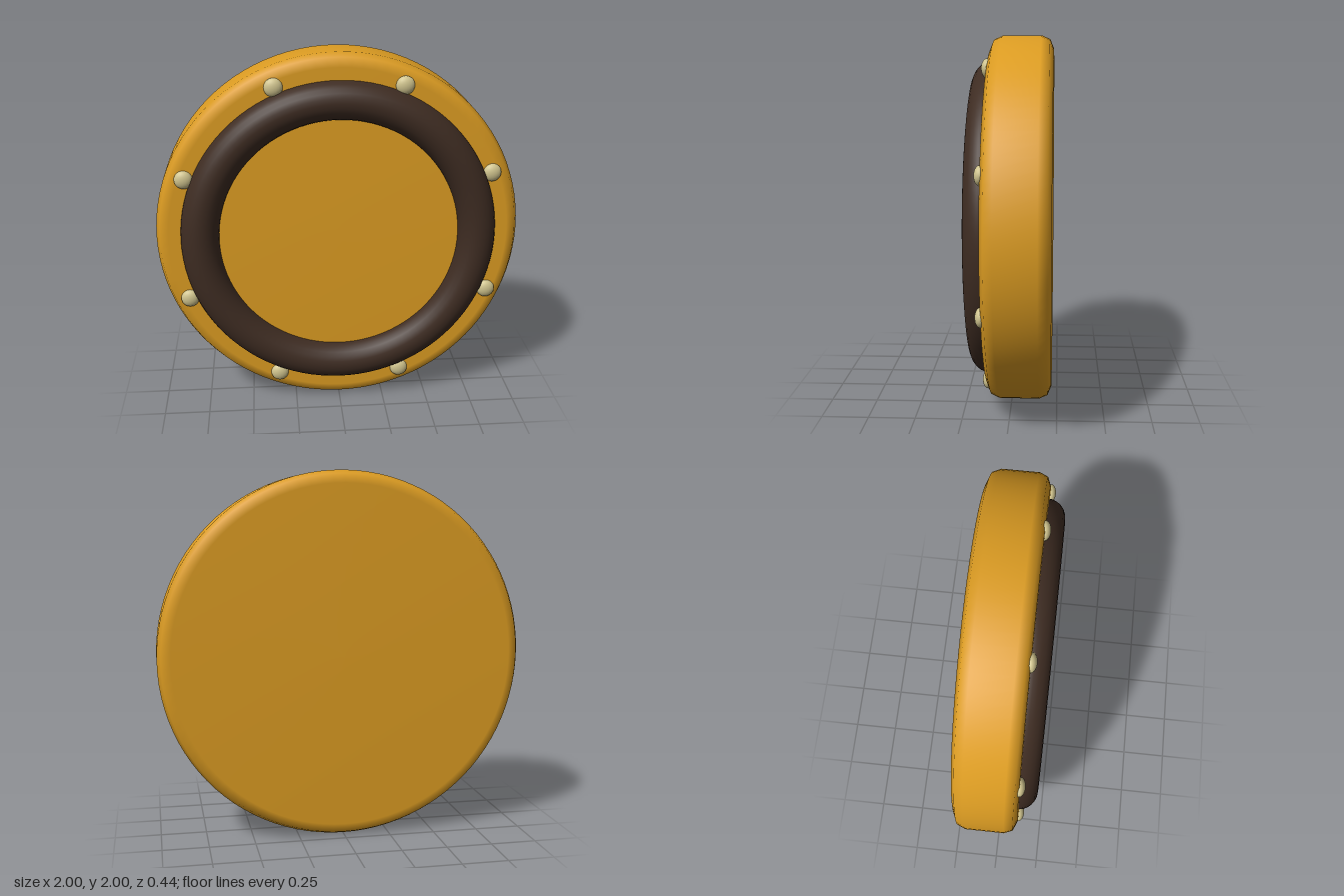
import * as THREE from 'three';

export function createModel() {
  const gold = new THREE.MeshStandardMaterial({ color: 0xdc9c22 });
  gold.name = 'gold';
  const darkBrown = new THREE.MeshStandardMaterial({ color: 0x3e2c22 });
  darkBrown.name = 'dark brown';
  const cream = new THREE.MeshStandardMaterial({ color: 0xd0c48e });
  cream.name = 'cream';

  const model = new THREE.Group();
  model.name = 'studdedDisc';

  // Round body with softened rims, turned so its axis runs front to back
  const profile = [
    [0, -0.22], [0.93, -0.22], [0.98, -0.2], [1, -0.155],
    [1, 0.055], [0.98, 0.1], [0.93, 0.12], [0, 0.12],
  ].map(([r, z]) => new THREE.Vector2(r, z));
  const body = new THREE.Mesh(new THREE.LatheGeometry(profile, 96).rotateX(Math.PI / 2), gold);
  body.name = 'body';
  body.position.y = 1;
  model.add(body);

  // Raised ring, half sunk into the front face
  const ring = new THREE.Mesh(new THREE.TorusGeometry(0.76, 0.105, 24, 96), darkBrown);
  ring.name = 'ring';
  ring.position.set(0, 1, 0.11);
  model.add(ring);

  // Eight flattened studs around the ring
  const studGeometry = new THREE.SphereGeometry(0.05, 20, 14).scale(1, 1, 0.6);
  for (let i = 0; i < 8; i++) {
    const angle = (i + 0.5) * Math.PI / 4;
    const stud = new THREE.Mesh(studGeometry, cream);
    stud.name = `stud${i + 1}`;
    stud.position.set(0.9 * Math.cos(angle), 1 + 0.9 * Math.sin(angle), 0.12);
    model.add(stud);
  }

  return model;
}
